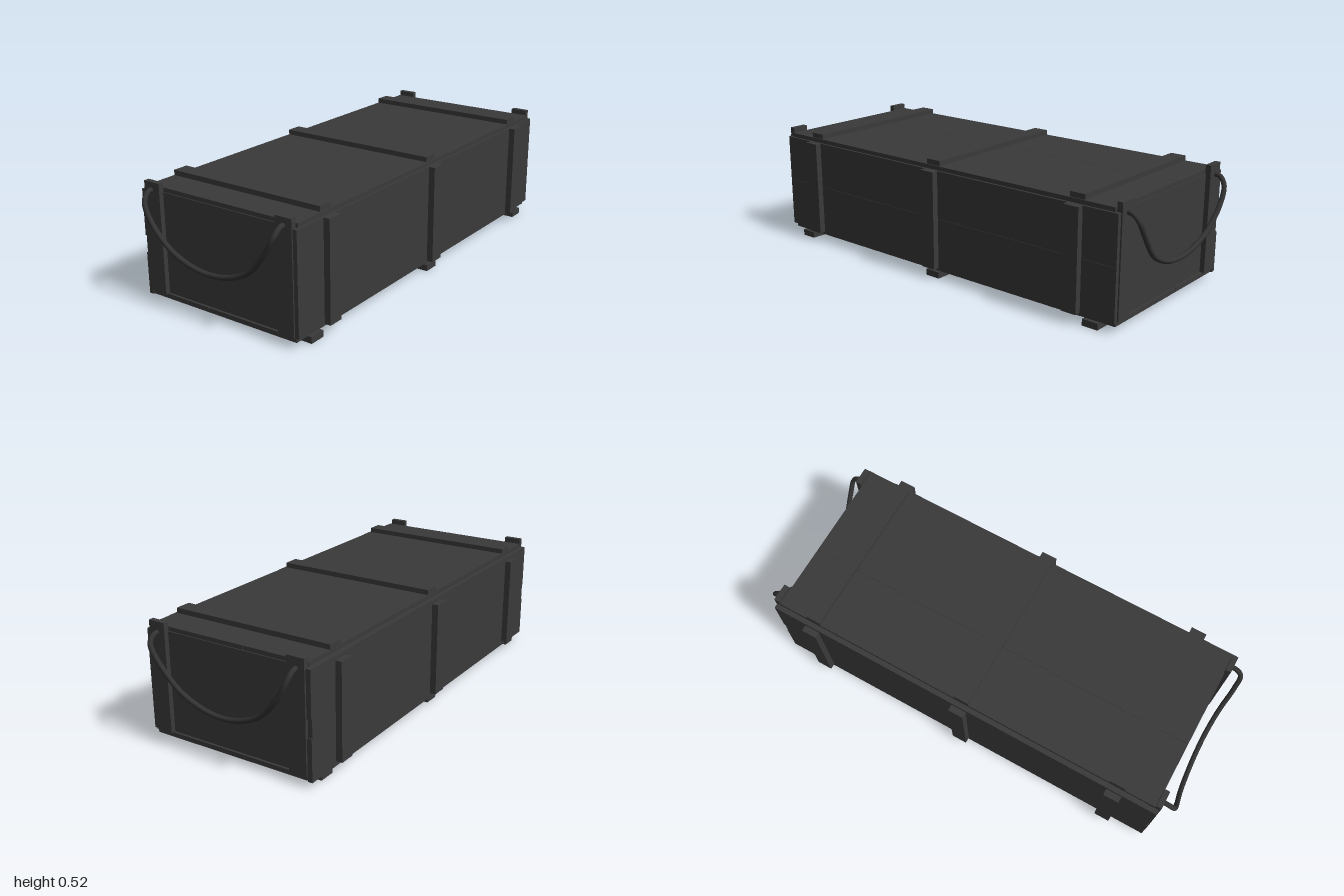
import * as THREE from 'three';

const wood = new THREE.MeshStandardMaterial({ color: 0x3a3a3a });
const ropeMat = new THREE.MeshStandardMaterial({ color: 0x333333 });

export function createModel() {
  const crate = new THREE.Group();
  crate.name = 'crate';

  // Board given by its lower and upper limits on each axis
  function board(name, [x0, x1], [y0, y1], [z0, z1]) {
    const mesh = new THREE.Mesh(new THREE.BoxGeometry(x1 - x0, y1 - y0, z1 - z0), wood);
    mesh.position.set((x0 + x1) / 2, (y0 + y1) / 2, (z0 + z1) / 2);
    mesh.name = name;
    crate.add(mesh);
    return mesh;
  }
  const span = (s, a, b) => (s > 0 ? [a, b] : [-b, -a]);

  // Floor and lid, two planks each
  board('floorPlank', [-0.375, -0.0705], [0.028, 0.048], [-0.925, 0.925]);
  board('floorPlank', [-0.0695, 0.375], [0.028, 0.048], [-0.925, 0.925]);
  board('lidPlank', [-0.37, -0.0705], [0.48, 0.498], [-0.91, 0.91]);
  board('lidPlank', [-0.0695, 0.38], [0.48, 0.498], [-0.91, 0.91]);

  // Long side walls, two planks each; the right lower plank is chipped at its ends
  board('leftLowerPlank', [0.37, 0.39], [0.048, 0.2695], [-0.93, 0.93]);
  board('leftUpperPlank', [0.37, 0.39], [0.2705, 0.48], [-0.93, 0.93]);
  board('rightLowerPlank', [-0.392, -0.371], [0.027, 0.207], [-0.93, 0.93]);
  board('rightMiddlePlank', [-0.392, -0.373], [0.207, 0.282], [-0.925, 0.925]);
  board('rightUpperPlank', [-0.392, -0.371], [0.282, 0.48], [-0.93, 0.93]);

  // End walls with corner posts that rise above the lid
  for (const s of [1, -1]) {
    board('endPanel', [-0.37, 0.37], [0.048, 0.48], span(s, 0.895, 0.915));
    board('cornerPost', [-0.37, -0.29], [0.048, 0.52], span(s, 0.912, 0.936));
    board('cornerPost', [0.295, 0.372], [0.048, 0.52], span(s, 0.912, 0.936));
  }

  // Battens around the lid, the sides and the bottom
  for (const z of [-0.738, 0, 0.738]) {
    const width = [z - 0.035, z + 0.035];
    board('lidBatten', [-0.37, 0.375], [0.498, 0.52], width);
    board('leftBatten', [0.39, 0.418], [0.048, 0.48], width);
    board('rightBatten', [-0.42, -0.392], [0.048, 0.462], width);
    const zb = z * 1.113;
    board('bottomBatten', [-0.382, 0.392], [0, 0.028], [zb - 0.036, zb + 0.036]);
  }

  // Sagging rope handles on both ends
  const path = [
    [-0.332, 0.487, 0.92], [-0.333, 0.484, 0.955], [-0.325, 0.45, 0.982],
    [-0.29, 0.382, 0.989], [-0.2, 0.284, 0.983], [-0.1, 0.236, 0.977], [0, 0.221, 0.972],
    [0.1, 0.236, 0.97], [0.2, 0.286, 0.974], [0.29, 0.39, 0.985],
    [0.328, 0.455, 0.982], [0.333, 0.484, 0.955], [0.332, 0.487, 0.92],
  ];
  for (const s of [1, -1]) {
    const drop = s > 0 ? 0 : 0.012;
    const curve = new THREE.CatmullRomCurve3(
      path.map(([x, y, z]) => new THREE.Vector3(x, y - drop, s * z)));
    const rope = new THREE.Mesh(new THREE.TubeGeometry(curve, 72, 0.011, 10), ropeMat);
    rope.name = s > 0 ? 'frontRopeHandle' : 'backRopeHandle';
    crate.add(rope);
  }
  return crate;
}
